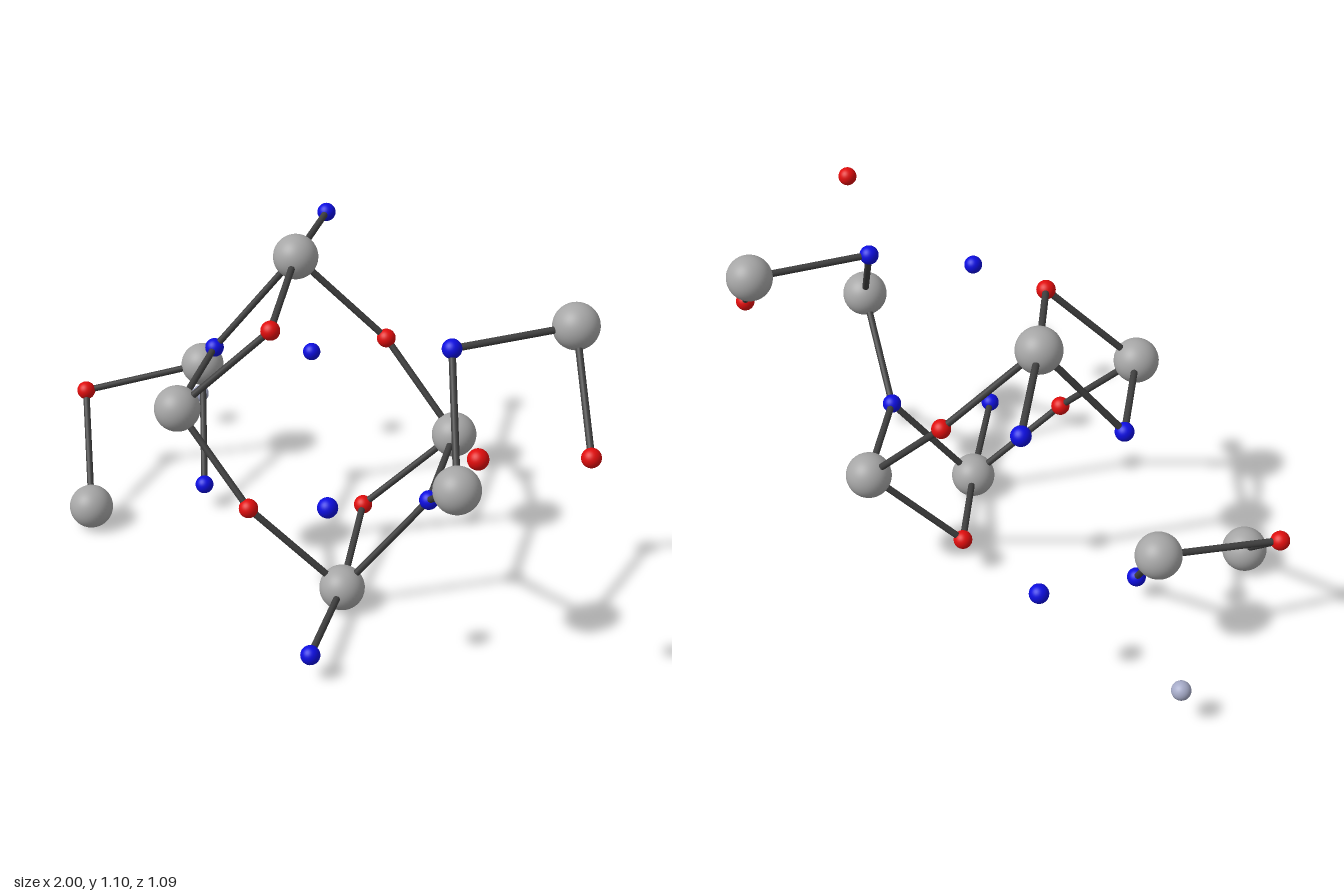
import * as THREE from 'three';

const mat = (name, color) => {
  const m = new THREE.MeshStandardMaterial({ color });
  m.name = name;
  return m;
};

export function createModel() {
  const model = new THREE.Group();
  model.name = 'ballAndStickLattice';

  const grey = mat('grey', 0xa6a6a6);
  const red = mat('red', 0xe00d0d);
  const blue = mat('blue', 0x0d0de0);
  const pale = mat('paleBlueGrey', 0xa6abc8);
  const dark = mat('darkGrey', 0x404040);

  const largeBall = new THREE.SphereGeometry(0.076, 40, 28);
  const smallBall = new THREE.SphereGeometry(0.032, 28, 20);

  // Ball centres
  const balls = {
    G1: [-0.732, 0.433, -0.152], G2: [-0.732, 0.076, 0.402],
    G3: [-0.254, 1.021, -0.152], G4: [-0.254, 0.664, 0.402],
    G5: [0.254, 0.433, -0.402], G6: [0.254, 0.076, 0.152],
    G7: [0.732, 1.021, -0.402], G8: [0.732, 0.664, 0.152],
    P1: [-0.968, 0.138, -0.351], R1: [-0.968, 0.375, 0.203],
    R2: [-0.019, 0.96, 0.203], R3: [-0.019, 0.724, -0.351],
    R4: [0.019, 0.375, 0.351], R5: [0.019, 0.138, -0.203],
    R6: [0.968, 0.96, 0.351], R7: [0.968, 0.724, -0.203],
    B1: [-0.53, 0.42, -0.512], B2: [-0.53, 0.093, 0.042],
    B3: [-0.456, 1.004, -0.512], B4: [-0.456, 0.677, 0.042],
    B5: [0.456, 0.42, -0.042], B6: [0.456, 0.093, 0.512],
    B7: [0.53, 1.004, -0.042], B8: [0.53, 0.677, 0.512],
  };
  const kinds = {
    G: ['largeGreyBall', largeBall, grey],
    R: ['smallRedBall', smallBall, red],
    B: ['smallBlueBall', smallBall, blue],
    P: ['smallPaleBall', smallBall, pale],
  };
  for (const [key, p] of Object.entries(balls)) {
    const [name, geometry, material] = kinds[key[0]];
    const ball = new THREE.Mesh(geometry, material);
    ball.name = name + key[1];
    ball.position.set(...p);
    model.add(ball);
  }

  // Rods between ball centres
  const rods = [
    // left fragment
    'G1 R1', 'G2 R1', 'G1 B2',
    // central cage, upper half
    'G3 B3', 'G3 B4', 'G4 B4', 'G3 R2', 'G4 R2', 'G3 R3', 'G4 R4',
    // central cage, lower half
    'G5 R3', 'G6 R4', 'G5 R5', 'G6 R5', 'G5 B5', 'G6 B5', 'G6 B6',
    // right arm
    'G8 B5', 'G8 B7', 'G7 B7', 'G7 R7',
  ];
  const up = new THREE.Vector3(0, 1, 0);
  rods.forEach((pair, i) => {
    const [a, b] = pair.split(' ').map((k) => new THREE.Vector3(...balls[k]));
    const dir = b.clone().sub(a);
    const rod = new THREE.Mesh(new THREE.CylinderGeometry(0.0115, 0.0115, dir.length(), 16), dark);
    rod.name = 'rod' + (i + 1);
    rod.position.copy(a).add(b).multiplyScalar(0.5);
    rod.quaternion.setFromUnitVectors(up, dir.normalize());
    model.add(rod);
  });

  return model;
}
